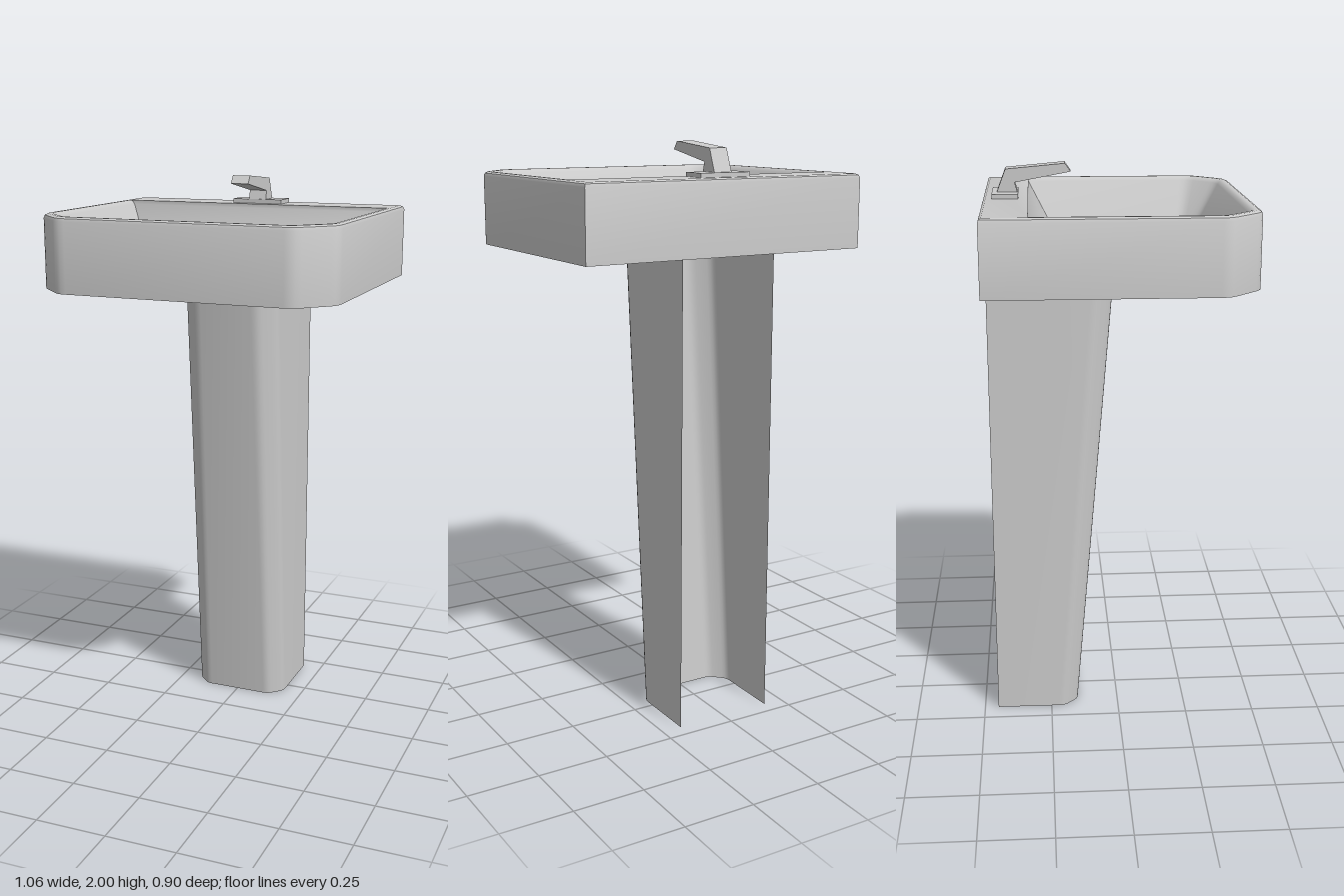
import * as THREE from 'three';
import { toCreasedNormals } from 'three/addons/utils/BufferGeometryUtils.js';

const grey = new THREE.MeshStandardMaterial({ color: 0xcccccc });
const greyDouble = new THREE.MeshStandardMaterial({ color: 0xcccccc, side: THREE.DoubleSide });

function part(name, geometry, material = grey) {
  const mesh = new THREE.Mesh(geometry, material);
  mesh.name = name;
  return mesh;
}

// Outline in [x, z]: square back, chamfered front corners eased by short curves.
function outline(hw, zBack, zFront, chamfer, ease) {
  const half = [[hw, zBack]];
  const corner = (x, z, from, to) => {
    for (let i = 0; i <= 3; i++) {
      const t = i / 3, a = (1 - t) ** 2, b = t * t;
      half.push([x + ease * (a * from[0] + b * to[0]), z + ease * (a * from[1] + b * to[1])]);
    }
  };
  corner(hw, zFront - chamfer, [0, -1], [-0.7, 0.7]);
  corner(hw - chamfer, zFront, [0.7, -0.7], [-1, 0]);
  return [...half.map(([x, z]) => [-x, z]), ...half.reverse()];
}

// Skin between rings of equal point count; each ring is { pts, y }.
function loft(rings, closed) {
  const n = rings[0].pts.length, pos = [], idx = [];
  for (const { pts, y } of rings) for (const [x, z] of pts) pos.push(x, y, z);
  for (let j = 0; j < rings.length - 1; j++) {
    for (let i = 0; i < (closed ? n : n - 1); i++) {
      const k = (i + 1) % n, a = j * n + i, b = j * n + k;
      idx.push(a, b, b + n, a, b + n, a + n);
    }
  }
  const g = new THREE.BufferGeometry();
  g.setAttribute('position', new THREE.Float32BufferAttribute(pos, 3));
  g.setIndex(idx);
  return toCreasedNormals(g, 0.6);
}

const ring = (y, ...args) => ({ y, pts: outline(...args) });
const shapeOf = (pts, sign) => new THREE.Shape(pts.map(([x, z]) => new THREE.Vector2(x, sign * z)));

function createBasin() {
  const basin = new THREE.Group();
  basin.name = 'basin';
  const floorY = 1.72, drainZ = 0.03;

  // Outer wall, rounded rim, back deck and sloping bowl wall
  const rings = [
    ring(1.635, 0.53, -0.455, 0.45, 0.115, 0.03),
    ring(1.875, 0.53, -0.455, 0.45, 0.115, 0.03),
    ring(1.885, 0.526, -0.452, 0.446, 0.113, 0.03),
    ring(1.89, 0.516, -0.444, 0.436, 0.11, 0.03),
    ring(1.89, 0.506, -0.3, 0.424, 0.107, 0.03),
    ring(1.886, 0.497, -0.3, 0.415, 0.104, 0.03),
    ring(1.876, 0.49, -0.3, 0.407, 0.1, 0.03),
    ring(floorY, 0.402, -0.215, 0.322, 0.045, 0.02),
  ];
  basin.add(part('bowlShell', loft(rings, true)));

  // Underside
  const under = new THREE.ShapeGeometry(shapeOf(rings[0].pts, 1));
  under.rotateX(Math.PI / 2).translate(0, 1.635, 0);
  basin.add(part('underside', under));

  // Bowl floor with a ten-sided drain opening
  const circle = (r) => Array.from({ length: 10 }, (_, i) => {
    const a = (i / 10) * Math.PI * 2;
    return [r * Math.cos(a), drainZ - r * Math.sin(a)];
  });
  const floorShape = shapeOf(rings[rings.length - 1].pts, -1);
  floorShape.holes.push(new THREE.Path(circle(0.075).map(([x, z]) => new THREE.Vector2(x, -z))));
  const floor = new THREE.ShapeGeometry(floorShape);
  floor.rotateX(-Math.PI / 2).translate(0, floorY, 0);
  basin.add(part('bowlFloor', floor));

  // Drain
  const drainY = floorY - 0.03;
  basin.add(part('drainWall', loft([
    { y: floorY, pts: circle(0.075) },
    { y: drainY, pts: circle(0.055) },
  ], true)));
  const plug = new THREE.CircleGeometry(0.055, 10);
  plug.rotateX(-Math.PI / 2).translate(0, drainY, drainZ);
  basin.add(part('drainBottom', plug));
  return basin;
}

function createTap() {
  const tap = new THREE.Group();
  tap.name = 'tap';
  const plate = new THREE.BoxGeometry(0.19, 0.017, 0.09);
  plate.translate(0, 1.8965, -0.378);
  tap.add(part('tapPlate', plate));

  // Bent spout, drawn as a side profile in (z, y)
  const profile = new THREE.Shape([
    [-0.408, 1.9], [-0.335, 1.9], [-0.345, 1.937], [-0.153, 1.972],
    [-0.173, 2.0], [-0.376, 1.982],
  ].map(([z, y]) => new THREE.Vector2(z, y)));
  const spout = new THREE.ExtrudeGeometry(profile, { depth: 0.066, bevelEnabled: false });
  spout.rotateY(-Math.PI / 2).translate(0.033, 0, 0);
  tap.add(part('spout', spout));
  return tap;
}

export function createModel() {
  const model = new THREE.Group();
  model.name = 'pedestalSink';

  // Thin pedestal, open at the back, leaning forward toward the top
  const pedestal = loft([
    ring(0, 0.178, -0.45, -0.15, 0.05, 0.018),
    ring(1.635, 0.178, -0.45, -0.01, 0.06, 0.022),
  ], false);
  model.add(part('pedestal', pedestal, greyDouble), createBasin(), createTap());
  return model;
}
